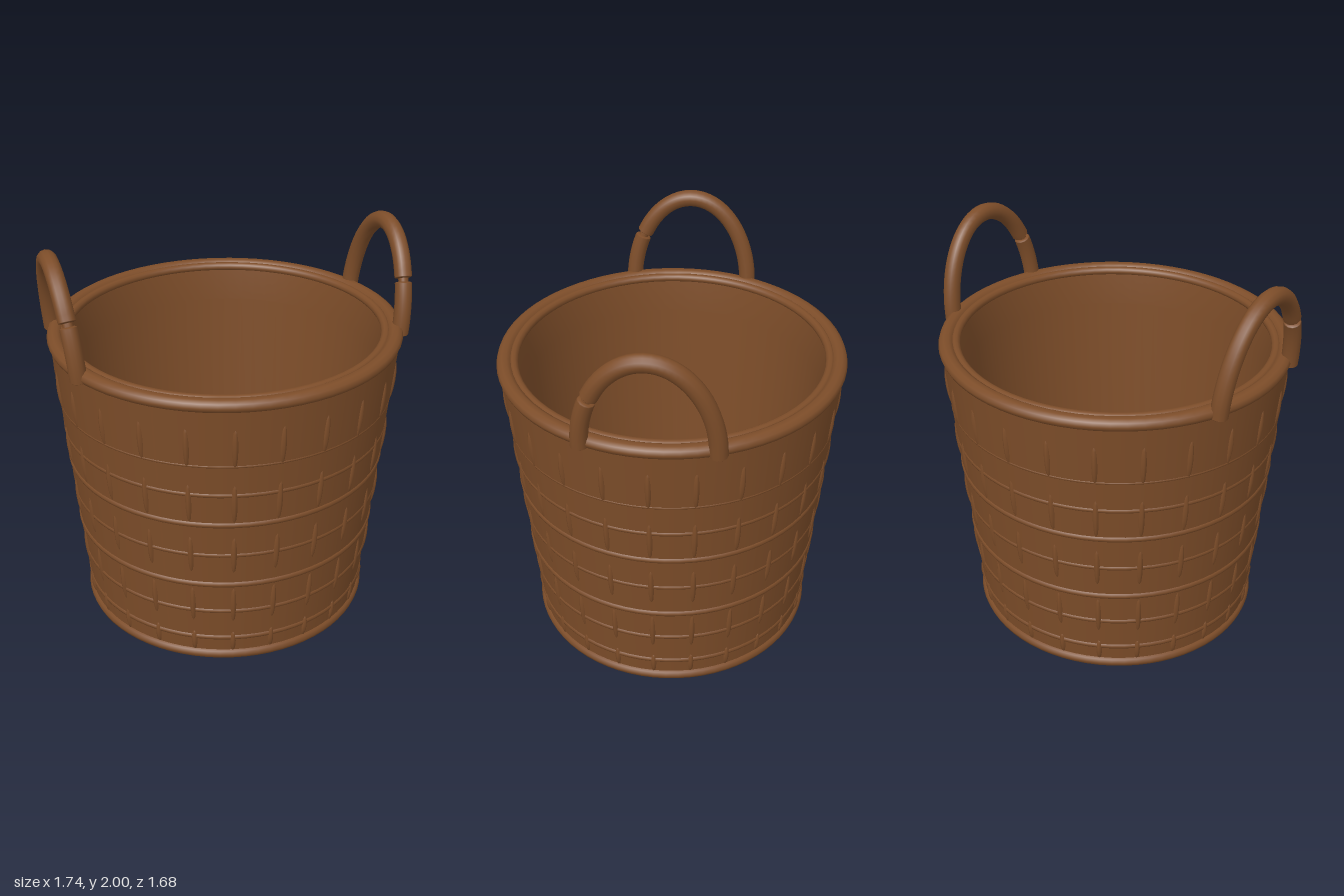
import * as THREE from 'three';
import { mergeGeometries } from 'three/addons/utils/BufferGeometryUtils.js';
import { RoundedBoxGeometry } from 'three/addons/geometries/RoundedBoxGeometry.js';

const material = (name, color) => {
  const m = new THREE.MeshStandardMaterial({ color });
  m.name = name;
  return m;
};

// Outer radius of the tapering basket wall at height y
const wallRadius = (y) => 0.712 + 0.09 * y;

export function createModel() {
  const wicker = material('wicker brown', 0x7d4d29);
  const tan = material('cloth tan', 0xc4a57f);
  const red = material('cloth red', 0x9b4e4a);

  const model = new THREE.Group();
  model.name = 'basketWithBlankets';
  const basket = new THREE.Group();
  basket.name = 'basket';
  basket.scale.z = 0.975; // slightly oval
  model.add(basket);

  const add = (parent, name, geometry, mat) => {
    const mesh = new THREE.Mesh(geometry, mat);
    mesh.name = name;
    parent.add(mesh);
    return mesh;
  };
  const lathe = (name, points) => add(basket, name,
    new THREE.LatheGeometry(points.map(([r, y]) => new THREE.Vector2(r, y)), 72), wicker);

  // Shell: rounded underside, outer wall, inner wall running smoothly into the floor
  lathe('underside', [[0, 0], [0.635, 0], [0.67, 0.03], [0.705, 0.06]]);
  lathe('outerWall', [[wallRadius(0.05), 0.05], [wallRadius(1.52), 1.52]]);
  lathe('innerWall', [[0.765, 1.53], [0.74, 1.35], [0.66, 0.22], [0.64, 0.12], [0.58, 0.08], [0, 0.08]]);

  // Horizontal hoops: height, radius offset, tube radius, vertical stretch
  const hoops = [
    ['rim', 1.52, -0.027, 0.039, 0.85],
    ['innerRim', 1.525, -0.073, 0.022, 1],
    ['hoop', 1.21, -0.008, 0.01, 1],
    ['hoop', 1.05, -0.013, 0.017, 1],
    ['hoop', 0.88, -0.014, 0.021, 1],
    ['hoop', 0.70, -0.013, 0.017, 1],
    ['hoop', 0.52, -0.014, 0.022, 1],
    ['hoop', 0.35, -0.013, 0.018, 1],
    ['hoop', 0.175, -0.014, 0.02, 1],
    ['baseRing', 0.067, -0.016, 0.034, 0.95],
  ];
  for (const [name, y, offset, tube, stretch] of hoops) {
    const hoop = add(basket, name,
      new THREE.TorusGeometry(wallRadius(y) + offset, tube, 10, 72), wicker);
    hoop.rotation.x = Math.PI / 2;
    hoop.scale.z = stretch;
    hoop.position.y = y;
  }

  // Short lens-shaped stakes peeping out of the weave in five rows
  const rows = [[1.19, 1.42], [0.88, 1.12], [0.58, 0.82], [0.27, 0.51], [0.08, 0.22]];
  const stakes = [];
  for (const [low, high] of rows) {
    const y = (low + high) / 2;
    for (let i = 0; i < 24; i++) {
      stakes.push(new THREE.SphereGeometry(1, 8, 8)
        .scale(0.017, (high - low) / 2, 0.022)
        .rotateX(Math.atan(0.09))
        .translate(0, y, wallRadius(y) - 0.01)
        .rotateY((i * Math.PI) / 12));
    }
  }
  add(basket, 'stakes', mergeGeometries(stakes), wicker);

  // Arched handles, each with a pinched joint near the front
  const arc = (side, from, to) => {
    const points = [];
    for (let i = 0; i <= 16; i++) {
      const a = from + ((to - from) * i) / 16;
      const rise = Math.sin(a);
      points.push(new THREE.Vector3(side * (0.789 + 0.041 * rise), 1.5 + 0.458 * rise, 0.302 * Math.cos(a)));
    }
    return new THREE.CatmullRomCurve3(points);
  };
  for (const side of [1, -1]) {
    const handle = new THREE.Group();
    handle.name = side > 0 ? 'leftHandle' : 'rightHandle';
    model.add(handle);
    const piece = (name, from, to, radius) => {
      const curve = arc(side, from, to);
      add(handle, name, new THREE.TubeGeometry(curve, 32, radius, 12), wicker);
      for (const t of [0, 1]) {
        const cap = add(handle, name + 'End', new THREE.SphereGeometry(radius, 12, 8), wicker);
        cap.position.copy(curve.getPoint(t));
        cap.quaternion.setFromUnitVectors(new THREE.Vector3(0, 1, 0), curve.getTangent(t));
        cap.scale.y = 0.2; // nearly flat cut end
      }
    };
    piece('handleFoot', 0, 0.55, 0.041);
    piece('handleJoint', 0.5, 0.7, 0.024);
    piece('handleArch', 0.62, Math.PI, 0.042);
  }

  // Folded blankets with flat stripe bands hanging over the front edge
  const blanket = (name, x0, x1, z0, z1, y0, y1, mat, stripeMat, stripes) => {
    const group = new THREE.Group();
    group.name = name;
    model.add(group);
    const lift = 0.004;
    const body = add(group, 'foldedCloth',
      new RoundedBoxGeometry(x1 - x0, y1 - y0, z1 - z0, 4, 0.04), mat);
    body.position.set((x0 + x1) / 2, (y0 + y1) / 2, (z0 + z1) / 2);
    for (const x of stripes) {
      const back = z0 + 0.047, front = z1 + lift;
      const stripe = add(group, 'stripe',
        new THREE.BoxGeometry(0.036, y1 - y0, front - back), stripeMat);
      stripe.position.set(x, (y0 + y1) / 2 + lift, (back + front) / 2);
    }
  };
  blanket('lowerBlanket', -0.465, 0.522, -0.315, 0.428, 0.08, 0.28, red, tan, [-0.3, 0.355]);
  blanket('upperBlanket', -0.495, 0.428, -0.357, 0.35, 0.28, 0.48, tan, red, [-0.34, 0.272]);

  return model;
}
